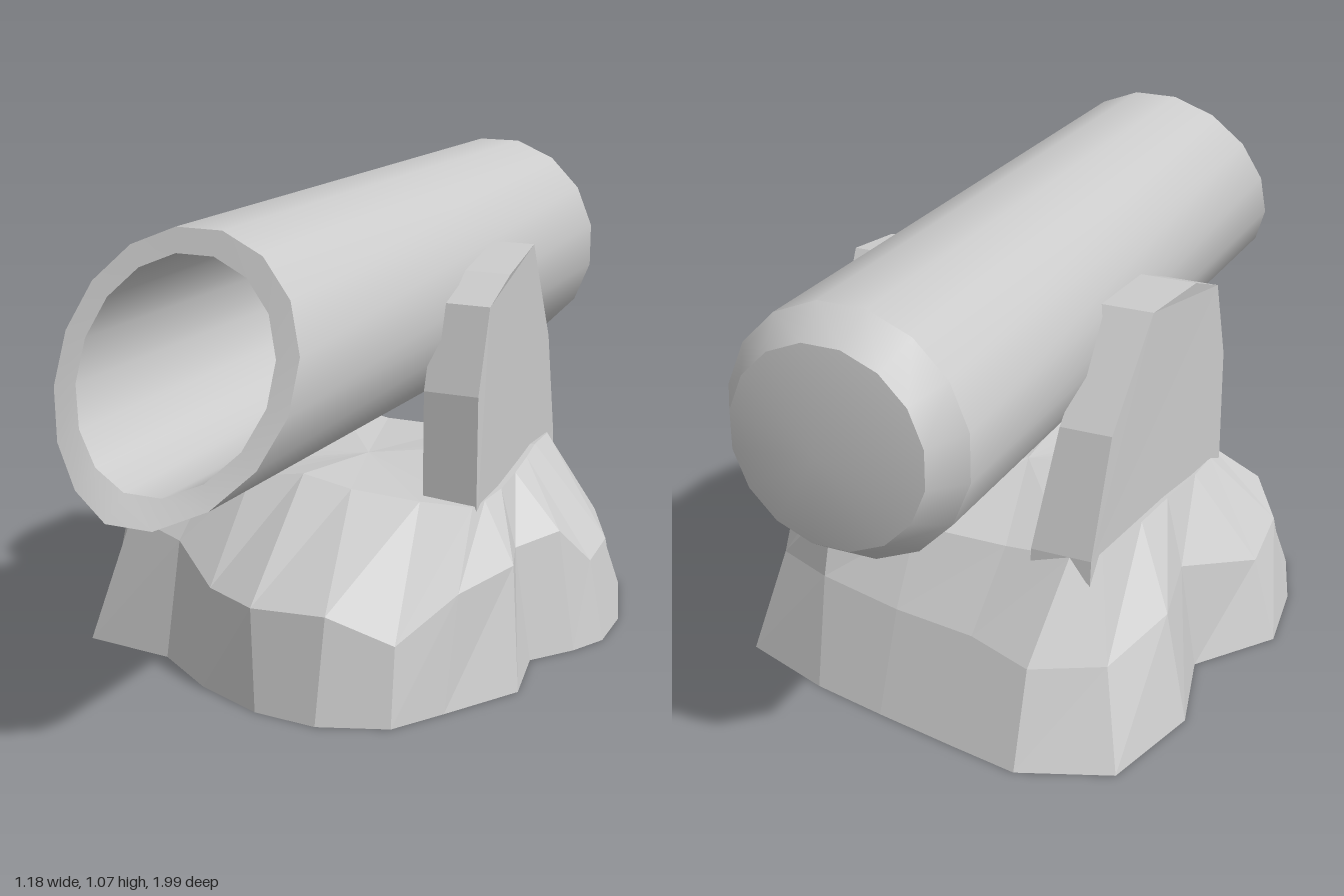
import * as THREE from 'three';
import { toCreasedNormals } from 'three/addons/utils/BufferGeometryUtils.js';

const material = new THREE.MeshStandardMaterial({ color: 0xcccccc });
const flatMaterial = new THREE.MeshStandardMaterial({ color: 0xcccccc, flatShading: true });

// Faceted mesh from a list of corner points, three per triangle
function facetedMesh(name, corners) {
  const geometry = new THREE.BufferGeometry();
  geometry.setAttribute('position', new THREE.Float32BufferAttribute(corners.flat(), 3));
  geometry.computeVertexNormals();
  const mesh = new THREE.Mesh(geometry, flatMaterial);
  mesh.name = name;
  return mesh;
}

// Hollow barrel with a scooped, slanting muzzle and a domed rear
function makeBarrel() {
  const R = 0.27, bore = 0.22, muzzle = 1;
  const profile = [
    [0, -1], [0.215, -0.96], [R, -0.88], [R, muzzle], [bore, muzzle], [bore, -0.8], [0, -0.85],
  ].map(([r, z]) => new THREE.Vector2(r, z));
  const geometry = new THREE.LatheGeometry(profile, 16, Math.PI / 16);
  geometry.rotateX(Math.PI / 2);
  // Push the muzzle rim back along a curve, most at the top
  const p = geometry.attributes.position;
  for (let i = 0; i < p.count; i++) {
    if (p.getZ(i) < 0.99) continue;
    const t = Math.max(0, (p.getY(i) + R) / (2 * R));
    p.setZ(i, 1 - 0.3 * Math.pow(t, 0.65));
  }
  const mesh = new THREE.Mesh(toCreasedNormals(geometry, 0.5), material);
  mesh.name = 'barrel';
  mesh.position.set(0.015, 0.805, 0);
  return mesh;
}

// Side support: [z, y, outer x, inner x] around its outline
function makeSupport(side, peak) {
  const outline = [
    [0.15, 0.3, 0.385, 0.255], [0.15, 0.64, 0.385, 0.255], [0.09, 0.83, 0.385, 0.255],
    [-0.04, 0.88, 0.38, 0.25], [-0.24, peak, 0.36, 0.24], [-0.41, 0.66, 0.34, 0.22],
    [-0.49, 0.4, 0.33, 0.19], [-0.5, 0.3, 0.33, 0.19],
  ];
  const outer = outline.map(([z, y, x]) => [side * x, y, z]);
  const inner = outline.map(([z, y, , x]) => [side * x, y, z]);
  const corners = [];
  const tri = (a, b, c) => corners.push(...(side > 0 ? [a, b, c] : [a, c, b]));
  const contour = outline.map(([z, y]) => new THREE.Vector2(z, y));
  for (const [a, b, c] of THREE.ShapeUtils.triangulateShape(contour, [])) {
    tri(outer[a], outer[c], outer[b]);
    tri(inner[a], inner[b], inner[c]);
  }
  outline.forEach((_, i) => {
    const j = (i + 1) % outline.length;
    tri(outer[i], outer[j], inner[j]);
    tri(outer[i], inner[j], inner[i]);
  });
  return facetedMesh(side > 0 ? 'leftSupport' : 'rightSupport', corners);
}

// Rocky base: footprint, shoulder and rim rings joined in facets
function makeBase() {
  const foot = [
    [0.05, 0.57], [0.2, 0.58], [0.35, 0.52], [0.42, 0.4], [0.52, 0.22], [0.48, 0.04],
    [0.55, -0.06], [0.59, -0.15], [0.58, -0.3], [0.5, -0.54], [0.28, -0.62], [0.1, -0.66],
    [-0.1, -0.7], [-0.26, -0.73], [-0.46, -0.65], [-0.52, -0.4], [-0.46, -0.18], [-0.59, 0],
    [-0.56, 0.2], [-0.5, 0.37], [-0.28, 0.39], [-0.12, 0.5],
  ].map(([x, z]) => [x, 0, z]);
  const shoulder = [
    [0.02, 0.22, 0.53], [0.2, 0.23, 0.53], [0.34, 0.17, 0.48], [0.42, 0.25, 0.33],
    [0.48, 0.27, 0.16], [0.43, 0.26, 0.02], [0.5, 0.28, -0.08], [0.55, 0.19, -0.16],
    [0.54, 0.2, -0.3], [0.46, 0.22, -0.45], [0.3, 0.24, -0.54], [0.1, 0.22, -0.57],
    [-0.1, 0.22, -0.6], [-0.25, 0.2, -0.64], [-0.4, 0.2, -0.56], [-0.46, 0.24, -0.37],
    [-0.42, 0.25, -0.18], [-0.53, 0.19, 0.02], [-0.52, 0.22, 0.18], [-0.45, 0.28, 0.26],
    [-0.27, 0.27, 0.34], [-0.12, 0.22, 0.46],
  ];
  const rim = [
    [0, 0.44, 0.24], [0.12, 0.42, 0.24], [0.27, 0.4, 0.2], [0.38, 0.39, 0.16],
    [0.385, 0.39, 0.1], [0.385, 0.39, 0], [0.38, 0.4, -0.1], [0.37, 0.41, -0.2],
    [0.36, 0.42, -0.28], [0.34, 0.41, -0.42], [0.3, 0.4, -0.49], [0.1, 0.38, -0.47],
    [-0.12, 0.38, -0.47], [-0.28, 0.4, -0.49], [-0.34, 0.4, -0.45], [-0.36, 0.4, -0.28],
    [-0.37, 0.4, -0.15], [-0.38, 0.39, 0], [-0.38, 0.39, 0.1], [-0.36, 0.39, 0.16],
    [-0.26, 0.4, 0.2], [-0.13, 0.42, 0.25],
  ];
  const corners = [];
  foot.forEach((_, i) => {
    const j = (i + 1) % foot.length;
    for (const [low, high] of [[foot, shoulder], [shoulder, rim]]) {
      corners.push(low[i], low[j], high[j], low[i], high[j], high[i]);
    }
    corners.push(rim[i], rim[j], [0, 0.4, -0.1]);
    corners.push(foot[j], foot[i], [0, 0, -0.1]);
  });
  return facetedMesh('rockBase', corners);
}

export function createModel() {
  const group = new THREE.Group();
  group.name = 'mountedBarrel';
  group.add(makeBase(), makeSupport(1, 0.915), makeSupport(-1, 0.88), makeBarrel());
  return group;
}
